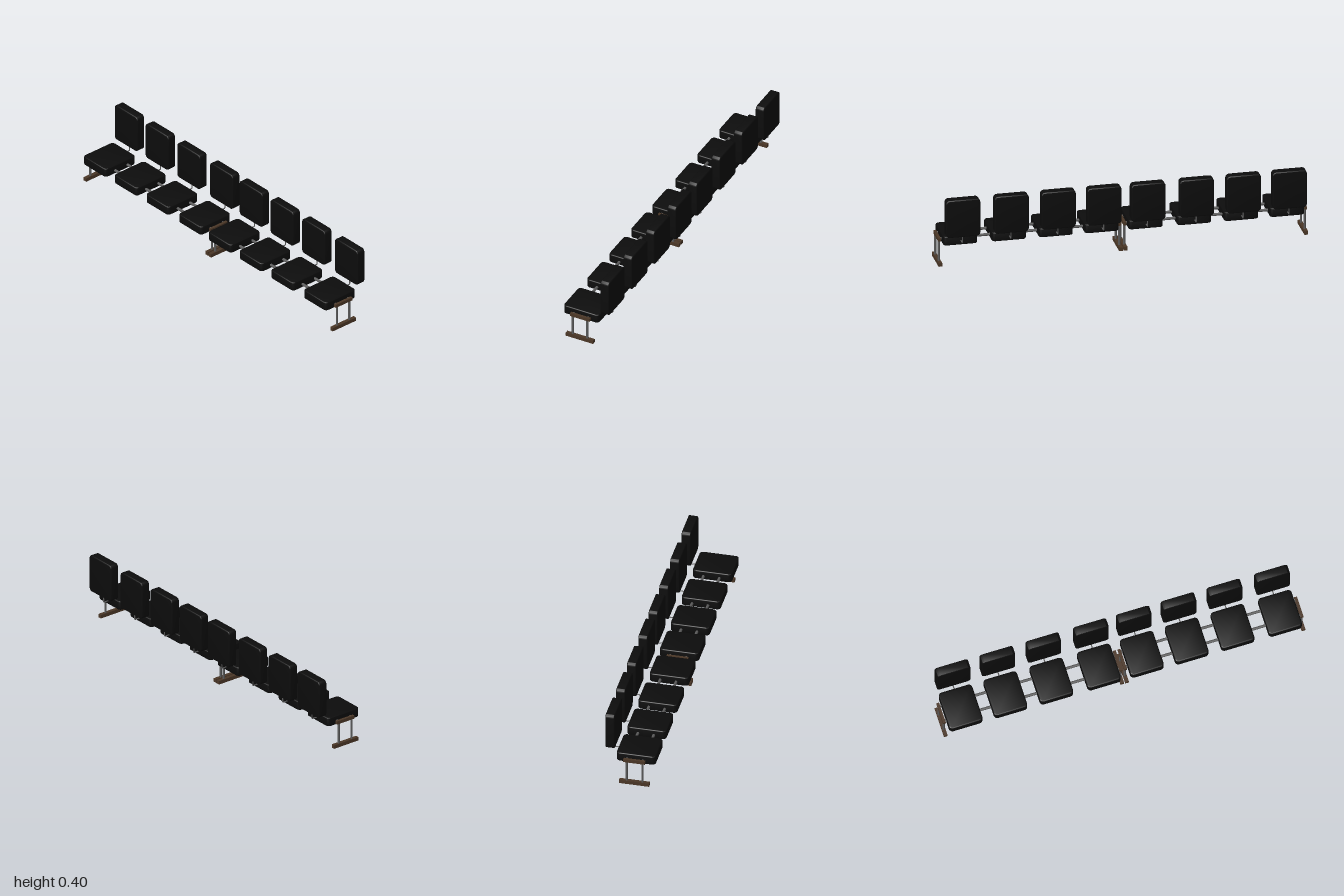
import * as THREE from 'three';
import { toCreasedNormals } from 'three/addons/utils/BufferGeometryUtils.js';

const black = new THREE.MeshStandardMaterial({ color: 0x0c0c0c });
const brown = new THREE.MeshStandardMaterial({ color: 0x4a3626 });
const steel = new THREE.MeshStandardMaterial({ color: 0x5a5a5a });

// Rounded slab lying in the XY plane, centred, with softened rims
function cushionGeometry(w, h, depth, radius, bevel) {
  const x = w / 2 - bevel, y = h / 2 - bevel, r = radius - bevel;
  const s = new THREE.Shape();
  s.moveTo(-x + r, -y);
  s.lineTo(x - r, -y);
  s.absarc(x - r, -y + r, r, -Math.PI / 2, 0);
  s.absarc(x - r, y - r, r, 0, Math.PI / 2);
  s.absarc(-x + r, y - r, r, Math.PI / 2, Math.PI);
  s.absarc(-x + r, -y + r, r, Math.PI, Math.PI * 1.5);
  const geo = new THREE.ExtrudeGeometry(s, {
    depth: depth - 2 * bevel, bevelEnabled: true, bevelThickness: bevel,
    bevelSize: bevel, bevelSegments: 3, curveSegments: 6,
  });
  geo.translate(0, 0, -depth / 2 + bevel);
  return toCreasedNormals(geo, 0.7);
}

function add(parent, name, geo, mat, x, y, z) {
  const mesh = new THREE.Mesh(geo, mat);
  mesh.name = name;
  mesh.position.set(x, y, z);
  parent.add(mesh);
  return mesh;
}

const railX = [-0.071, 0.015];
const seatGeo = cushionGeometry(0.212, 0.185, 0.05, 0.02, 0.005).rotateX(-Math.PI / 2);
const backGeo = cushionGeometry(0.185, 0.212, 0.05, 0.02, 0.005).rotateY(Math.PI / 2);

// L-shaped rod joining seat and backrest
const bracketPath = new THREE.CurvePath();
const corner = 0.006;
bracketPath.add(new THREE.LineCurve3(new THREE.Vector3(0.06, 0.15, 0), new THREE.Vector3(0.111 - corner, 0.15, 0)));
bracketPath.add(new THREE.QuadraticBezierCurve3(
  new THREE.Vector3(0.111 - corner, 0.15, 0), new THREE.Vector3(0.111, 0.15, 0), new THREE.Vector3(0.111, 0.15 + corner, 0)));
bracketPath.add(new THREE.LineCurve3(new THREE.Vector3(0.111, 0.15 + corner, 0), new THREE.Vector3(0.111, 0.2, 0)));
const bracketGeo = new THREE.TubeGeometry(bracketPath, 30, 0.003, 10);

function makeChair(z) {
  const chair = new THREE.Group();
  chair.name = 'chair';
  chair.position.z = z;
  add(chair, 'seatCushion', seatGeo, black, -0.031, 0.15, 0);
  add(chair, 'backrest', backGeo, black, 0.11, 0.298, 0);
  add(chair, 'backrestBracket', bracketGeo, steel, 0, 0, 0);
  return chair;
}

function makeLegFrame(z) {
  const frame = new THREE.Group();
  frame.name = 'legFrame';
  frame.position.z = z;
  add(frame, 'footBar', new THREE.BoxGeometry(0.163, 0.02, 0.02), brown, -0.0275, 0.01, 0);
  add(frame, 'topBar', new THREE.BoxGeometry(0.117, 0.018, 0.015), brown, -0.0265, 0.144, 0);
  for (const x of railX)
    add(frame, 'legPost', new THREE.CylinderGeometry(0.0062, 0.0062, 0.12, 16), steel, x, 0.077, 0);
  return frame;
}

export function createModel() {
  const model = new THREE.Group();
  model.name = 'benchRow';

  // Two identical four-seat benches, end to end
  for (const center of [-0.5015, 0.5015]) {
    const bench = new THREE.Group();
    bench.name = 'bench';
    bench.position.z = center;
    for (const z of [-0.382, -0.134, 0.12, 0.383]) bench.add(makeChair(z));
    for (const z of [-0.4885, 0.4885]) bench.add(makeLegFrame(z));
    for (const x of railX) {
      const rail = new THREE.CylinderGeometry(0.0075, 0.0075, 0.975, 16).rotateX(Math.PI / 2);
      add(bench, 'seatRail', rail, steel, x, 0.145, 0);
    }
    model.add(bench);
  }
  return model;
}
